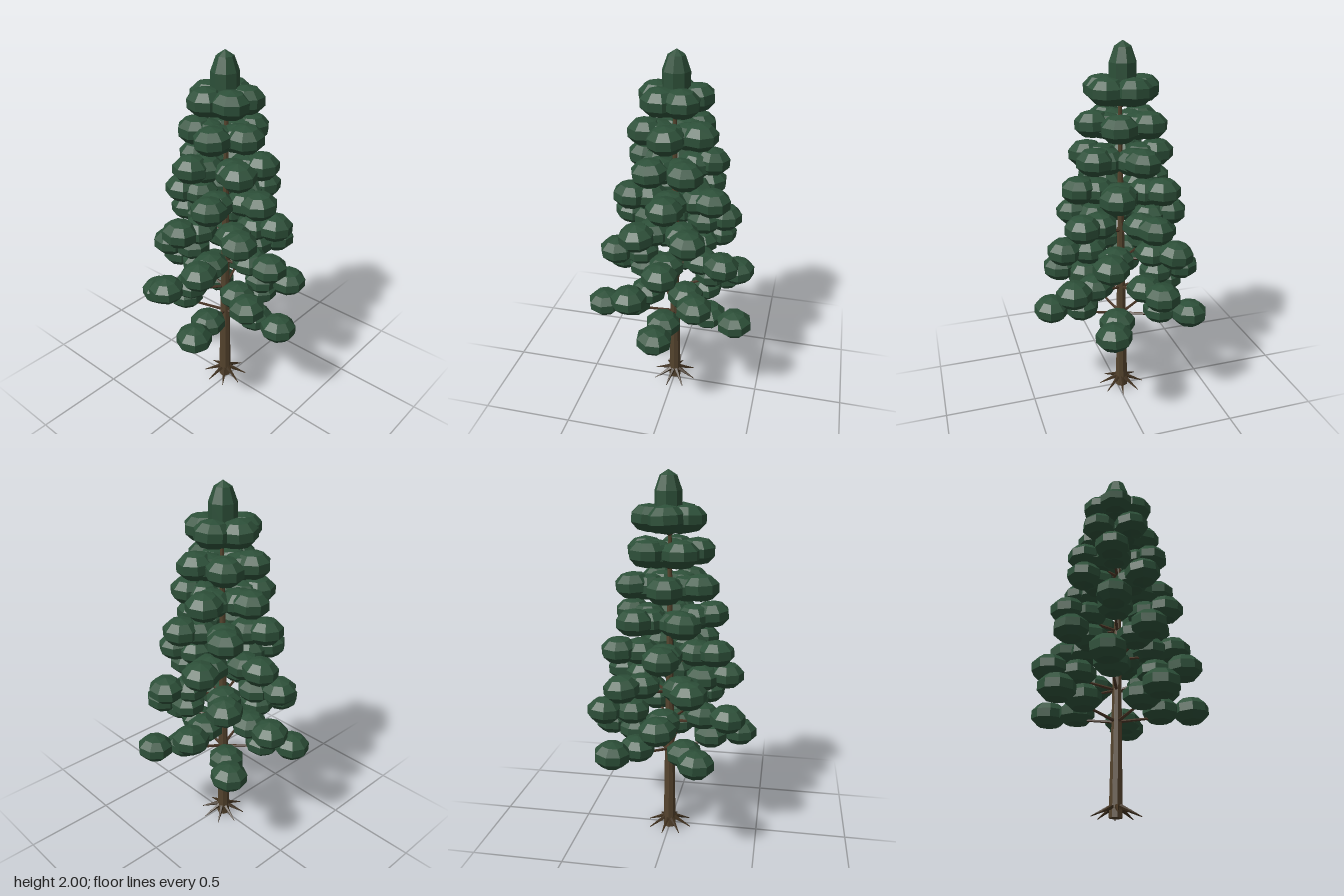
import * as THREE from 'three';

export function createModel() {
  const tree = new THREE.Group();
  tree.name = 'pineTree';
  const mat = (name, color) => new THREE.MeshStandardMaterial({ name, color, flatShading: true });
  const needles = mat('needleGreen', 0x2d5039);
  const bark = mat('barkBrown', 0x54432d);
  const twig = mat('branchBrown', 0x4a3626);
  const rootWood = mat('rootBrown', 0x40311f);
  const TX = -0.025; // trunk axis

  let seed = 7;
  const rand = () => (seed = (seed * 16807) % 2147483647) / 2147483647;
  const jitter = (a) => (rand() * 2 - 1) * a;

  const add = (parent, name, geometry, material) => {
    const m = new THREE.Mesh(geometry, material);
    m.name = name;
    parent.add(m);
    return m;
  };

  // tapered rod between two points
  const rod = (parent, name, a, b, r0, r1, sides, material) => {
    const dir = b.clone().sub(a);
    const m = add(parent, name, new THREE.CylinderGeometry(r1, r0, dir.length(), sides), material);
    m.position.copy(a).addScaledVector(dir, 0.5);
    m.quaternion.setFromUnitVectors(new THREE.Vector3(0, 1, 0), dir.normalize());
    return m;
  };

  // trunk
  rod(tree, 'trunk', new THREE.Vector3(TX - 0.004, 0, 0), new THREE.Vector3(TX + 0.01, 1.85, 0),
    0.035, 0.007, 8, bark);

  // roots spreading at the foot
  const roots = new THREE.Group();
  roots.name = 'roots';
  tree.add(roots);
  for (let i = 0; i < 8; i++) {
    const a = (i / 8) * Math.PI * 2 + 0.2;
    const c = Math.cos(a), s = Math.sin(a);
    rod(roots, 'root', new THREE.Vector3(TX + c * 0.015, 0.058, s * 0.015),
      new THREE.Vector3(TX + c * 0.126, 0.008, s * 0.126), 0.014, 0.002, 5, rootWood);
  }

  // flattened faceted needle clumps
  const clumpShape = new THREE.SphereGeometry(1, 8, 5);
  const clump = (parent, x, y, z, r, h) => {
    const m = add(parent, 'needleClump', clumpShape, needles);
    m.position.set(x, y, z);
    m.scale.set(r, h, r);
    m.rotation.set(jitter(0.06), rand() * Math.PI, jitter(0.06));
  };

  // tiers of five branches, alternate tiers turned by half a step
  const bottomAngles = [3, 73, 151, 219, 293];
  const secondAngles = [30.5, 112, 180, 251, 331];
  for (let t = 0; t < 8; t++) {
    const tier = new THREE.Group();
    tier.name = 'branchTier' + (t + 1);
    tree.add(tier);
    const y = 0.56 + t * 0.171;
    const reach = 0.4 - t * 0.042;
    for (let k = 0; k < 5; k++) {
      const deg = (t % 2 ? secondAngles : bottomAngles)[k] + (t > 1 ? jitter(4) : 0);
      const c = Math.cos(deg * Math.PI / 180), s = Math.sin(deg * Math.PI / 180);
      rod(tier, 'branch', new THREE.Vector3(TX, y - 0.08, 0),
        new THREE.Vector3(TX + c * reach, y - 0.01, s * reach), 0.009, 0.004, 5, twig);
      clump(tier, TX + c * reach, y + 0.005, s * reach, 0.1, 0.073);
      clump(tier, TX + c * reach * 0.58, y - 0.006, s * reach * 0.58, 0.1, 0.07);
    }
  }

  // pointed crown
  const crown = add(tree, 'crown', clumpShape, needles);
  crown.position.set(TX - 0.003, 1.85, -0.005);
  crown.scale.set(0.076, 0.15, 0.076);

  return tree;
}
